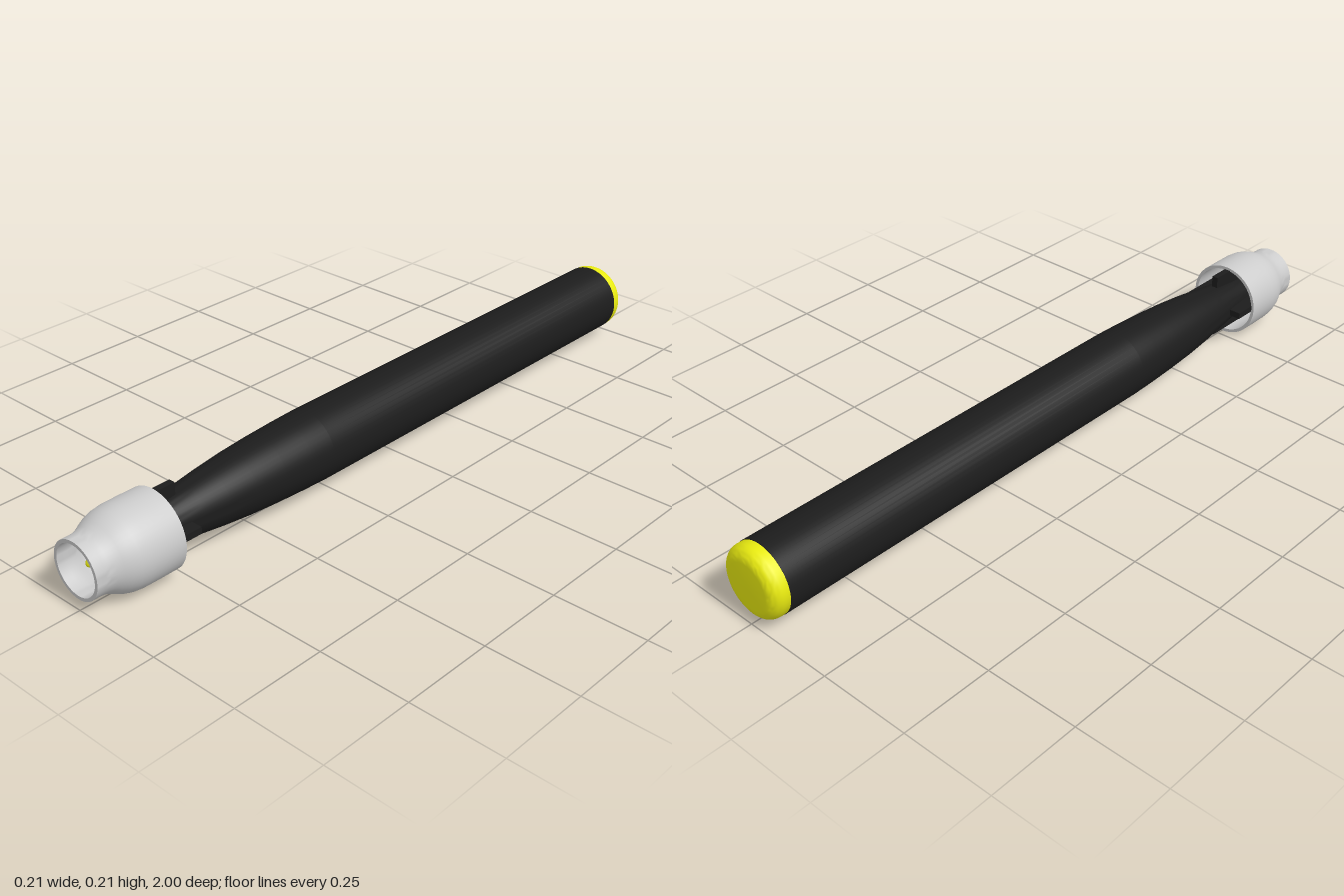
import * as THREE from 'three';
import { toCreasedNormals } from 'three/addons/utils/BufferGeometryUtils.js';

const black = new THREE.MeshStandardMaterial({ color: 0x1c1c1c });
const yellow = new THREE.MeshStandardMaterial({ color: 0xe8ea10 });
const grey = new THREE.MeshStandardMaterial({ color: 0xcccccc });

// Round part about the z axis from [radius, z] pairs, listed back to front
function turned(name, profile, material) {
  const points = profile.map(([r, z]) => new THREE.Vector2(r, z));
  const geometry = new THREE.LatheGeometry(points, 48).rotateX(Math.PI / 2);
  const mesh = new THREE.Mesh(toCreasedNormals(geometry, 0.6), material);
  mesh.name = name;
  return mesh;
}

// Ring of flattened petals leaning outward from the axis
function petalRing(name, count, turn, radius, z, size, lean) {
  const ring = new THREE.Group();
  ring.name = name;
  for (let i = 0; i < count; i++) {
    const arm = new THREE.Group();
    arm.rotation.z = turn + (i * Math.PI * 2) / count;
    const petal = new THREE.Mesh(new THREE.SphereGeometry(1, 20, 14), yellow);
    petal.name = 'petal';
    petal.scale.set(...size);
    petal.position.set(radius, 0, z);
    petal.rotation.y = lean;
    arm.add(petal);
    ring.add(arm);
  }
  return ring;
}

export function createModel() {
  const model = new THREE.Group();
  model.name = 'model';

  // Handle, end cap, ribs and petals share an axis slightly off the sleeve's
  const core = new THREE.Group();
  core.name = 'core';
  core.position.set(-0.004, 0.112, 0);
  model.add(core);

  core.add(turned('handle', [
    [0, -0.955], [0.096, -0.955], [0.096, 0.27], [0.094, 0.34], [0.09, 0.43],
    [0.084, 0.52], [0.076, 0.6], [0.067, 0.67], [0.058, 0.74], [0.05, 0.82],
    [0.044, 0.88], [0, 0.88],
  ], black));

  // Rounded end cap
  const cap = [[0, -1], [0.062, -1]];
  for (let i = 1; i <= 8; i++) {
    const a = (i / 8) * Math.PI / 2;
    cap.push([0.064 + 0.031 * Math.sin(a), -0.969 - 0.031 * Math.cos(a)]);
  }
  cap.push([0.095, -0.955], [0, -0.955]);
  core.add(turned('endCap', cap, yellow));

  // Four ribs that hold the sleeve
  for (let i = 0; i < 4; i++) {
    const arm = new THREE.Group();
    arm.name = 'rib';
    arm.rotation.z = (i * Math.PI) / 2;
    const rib = new THREE.Mesh(new THREE.BoxGeometry(0.06, 0.018, 0.16), black);
    rib.position.set(0.064, 0, 0.79);
    arm.add(rib);
    core.add(arm);
  }

  // Petals at the tip, on a thin stem
  core.add(turned('stem', [[0, 0.87], [0.012, 0.87], [0.012, 0.93], [0, 0.935]], yellow));
  core.add(petalRing('outerPetals', 4, 0, 0.031, 0.925, [0.018, 0.016, 0.008], 0.5));
  core.add(petalRing('innerPetals', 4, 0.85, 0.026, 0.94, [0.017, 0.012, 0.008], -0.6));
  core.add(petalRing('centrePetals', 3, 0.3, 0.006, 0.945, [0.01, 0.007, 0.007], -0.5));

  // Hollow sleeve around the tip: outer wall forward, inner wall back
  const outer = [
    [0.106, 0.77], [0.1065, 0.82], [0.106, 0.87], [0.103, 0.895], [0.097, 0.915],
    [0.089, 0.932], [0.081, 0.947], [0.077, 0.962], [0.076, 0.975], [0.076, 1],
  ];
  const inner = outer.map(([r, z]) => [r - 0.009, z]).reverse();
  const sleeve = turned('sleeve', [...outer, ...inner, outer[0]], grey);
  sleeve.position.y = 0.108;
  model.add(sleeve);

  return model;
}
